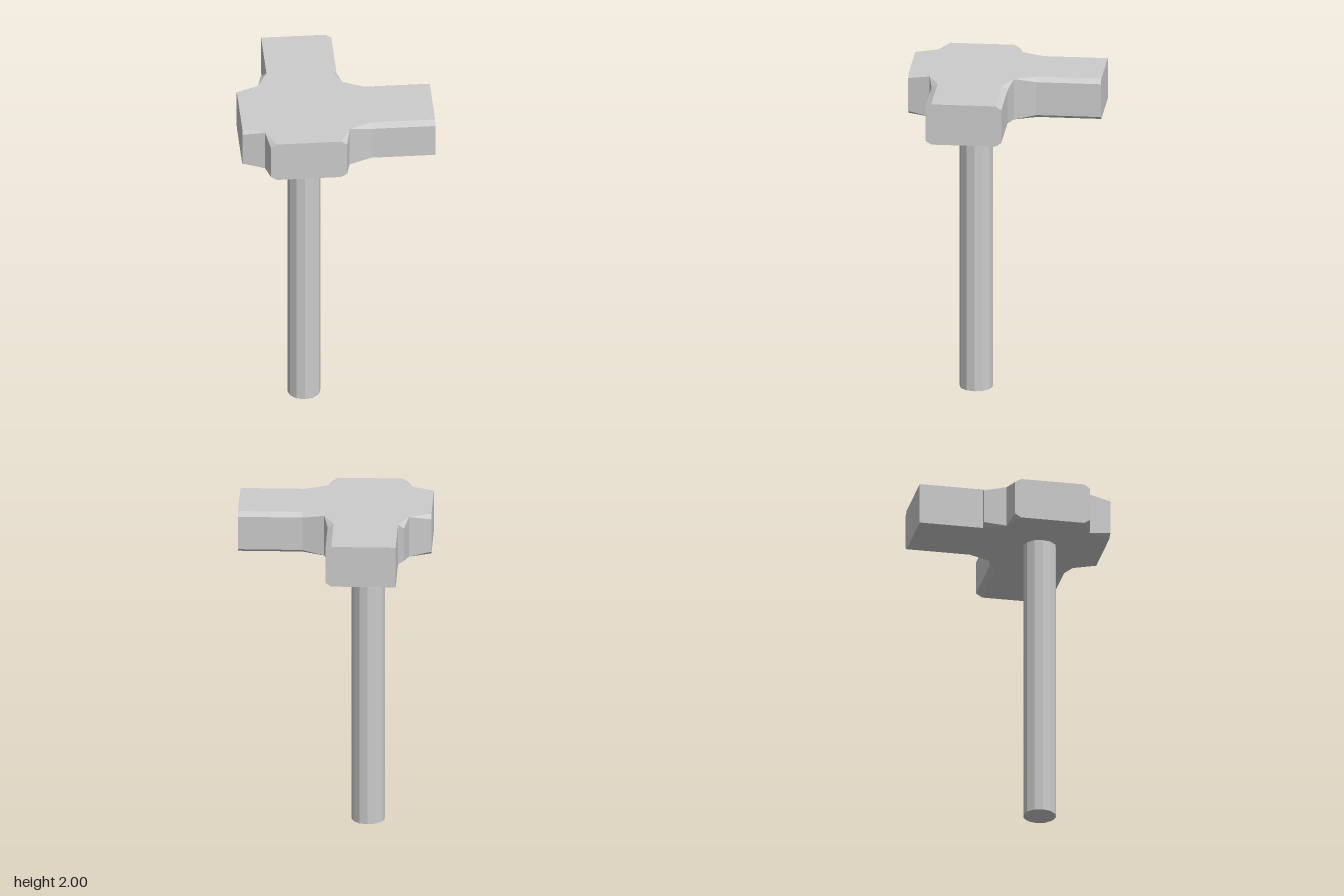
import * as THREE from 'three';

const CX = -0.19, CZ = 0.19;      // axis of the handle
const TOP = 2, BOTTOM = 1.75, BEVEL = 0.023;

// Head outline round the handle axis: [x, z, bevelled]
const outline = [
  [0.76, 0.19, 1], [0.38, 0.19, 1], [0.25, 0.25, 0],
  [0.19, 0.38, 1], [-0.19, 0.38, 1], [-0.25, 0.25, 0],
  [-0.38, 0.19, 1], [-0.38, -0.19, 1], [-0.25, -0.25, 0],
  [-0.19, -0.38, 1], [-0.19, -0.38, 0], [-0.19, -0.76, 0],
  [0.19, -0.76, 1], [0.19, -0.38, 1], [0.25, -0.25, 0],
  [0.38, -0.19, 1], [0.76, -0.19, 1],
];

// Bevelled corners bulge sideways from the flat faces
const bulge = (v) => (Math.abs(v) === 0.19 ? Math.sign(v) * 0.225 : v);

function headGeometry() {
  // Four rings from bottom to top
  const rings = [
    outline.map(([x, z]) => [x, BOTTOM, z]),
    outline.map(([x, z, b]) => (b ? [bulge(x), BOTTOM + BEVEL, bulge(z)] : [x, BOTTOM, z])),
    outline.map(([x, z, b]) => (b ? [bulge(x), TOP - BEVEL, bulge(z)] : [x, TOP, z])),
    outline.map(([x, z]) => [x, TOP, z]),
  ];
  const pos = [];
  const tri = (a, b, c) => {
    const v = [a, b, c].map((p) => new THREE.Vector3(...p));
    if (v[1].clone().sub(v[0]).cross(v[2].clone().sub(v[0])).length() > 1e-8) pos.push(...a, ...b, ...c);
  };

  // Walls and bevels
  const n = outline.length;
  for (let r = 0; r < 3; r++) {
    for (let i = 0; i < n; i++) {
      const j = (i + 1) % n;
      const a = rings[r][i], b = rings[r + 1][i], c = rings[r + 1][j], d = rings[r][j];
      tri(a, b, c);
      tri(a, c, d);
    }
  }

  // Top and bottom faces, without the doubled step corner
  const keep = [...outline.keys()].filter((i) => i !== 10);
  const flat = keep.map((i) => new THREE.Vector2(outline[i][0], outline[i][1]));
  for (const f of THREE.ShapeUtils.triangulateShape(flat, [])) {
    const [a, b, c] = f.map((k) => flat[k]);
    const up = b.clone().sub(a).cross(c.clone().sub(a)) < 0;
    const [i, j, k] = (up ? f : [f[0], f[2], f[1]]).map((m) => keep[m]);
    tri(rings[3][i], rings[3][j], rings[3][k]);
    tri(rings[0][i], rings[0][k], rings[0][j]);
  }

  const g = new THREE.BufferGeometry();
  g.setAttribute('position', new THREE.Float32BufferAttribute(pos, 3));
  g.computeVertexNormals();
  return g;
}

export function createModel() {
  const grey = new THREE.MeshStandardMaterial({ color: 0xcccccc });
  grey.name = 'light grey';
  const model = new THREE.Group();
  model.name = 'hammer';

  const head = new THREE.Mesh(headGeometry(), grey);
  head.name = 'head';
  head.position.set(CX, 0, CZ);

  // Twelve-sided handle with flat facets
  const shaft = new THREE.CylinderGeometry(0.098, 0.098, BOTTOM, 12).toNonIndexed();
  shaft.computeVertexNormals();
  const handle = new THREE.Mesh(shaft, grey);
  handle.name = 'handle';
  handle.position.set(CX, BOTTOM / 2, CZ);

  model.add(head, handle);
  return model;
}
